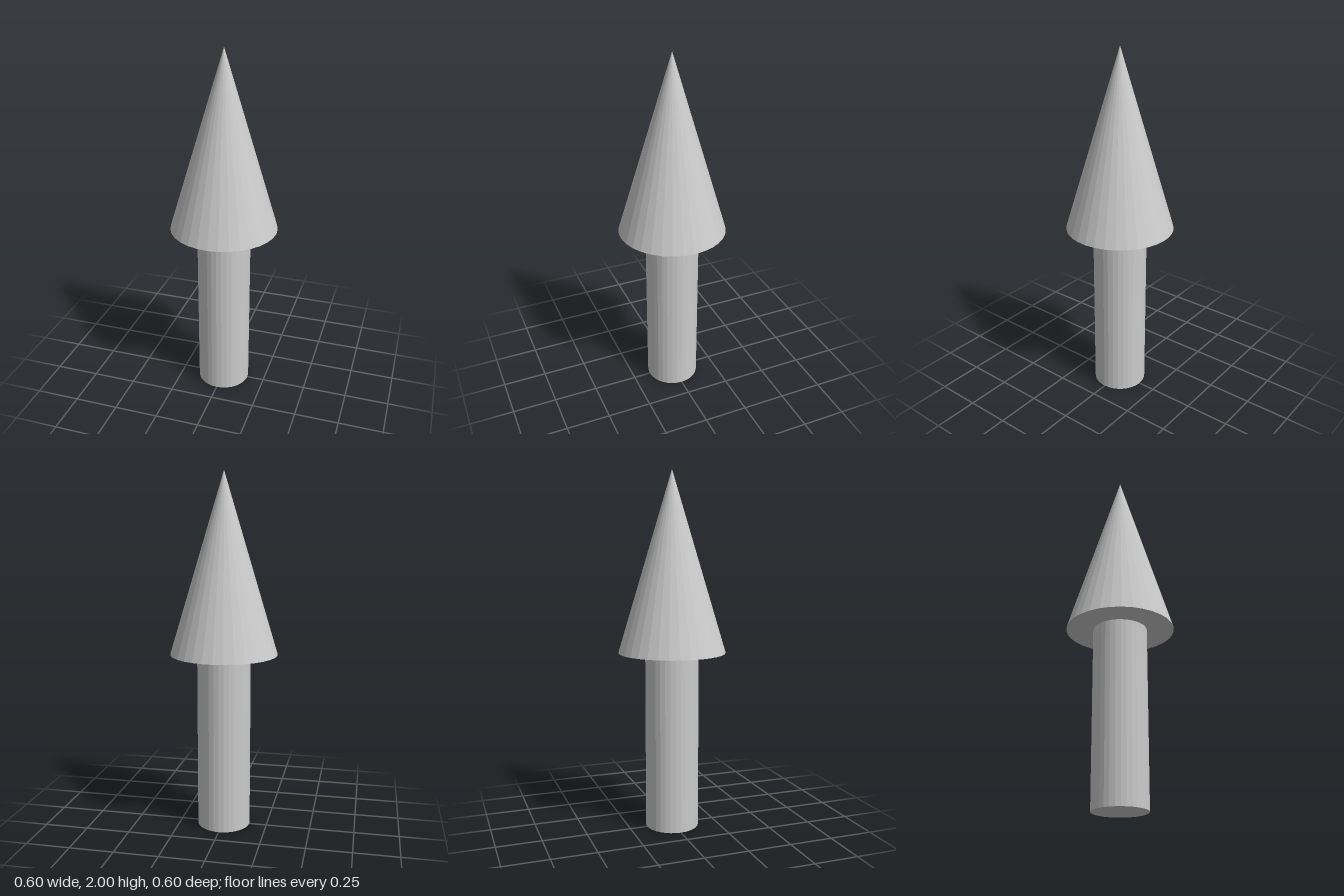
import * as THREE from 'three';

const SIDES = 32;

export function createModel() {
  const model = new THREE.Group();
  model.name = 'arrow';
  const material = new THREE.MeshStandardMaterial({ color: 0xcccccc, flatShading: true });

  const addPart = (name, geometry, y) => {
    const mesh = new THREE.Mesh(geometry, material);
    mesh.name = name;
    mesh.position.y = y;
    model.add(mesh);
  };

  // Straight round shaft, standing on the ground
  addPart('shaft', new THREE.CylinderGeometry(0.15, 0.15, 1, SIDES), 0.5);

  // Pointed head with a flat underside
  addPart('head', new THREE.ConeGeometry(0.3, 1, SIDES), 1.5);

  return model;
}
